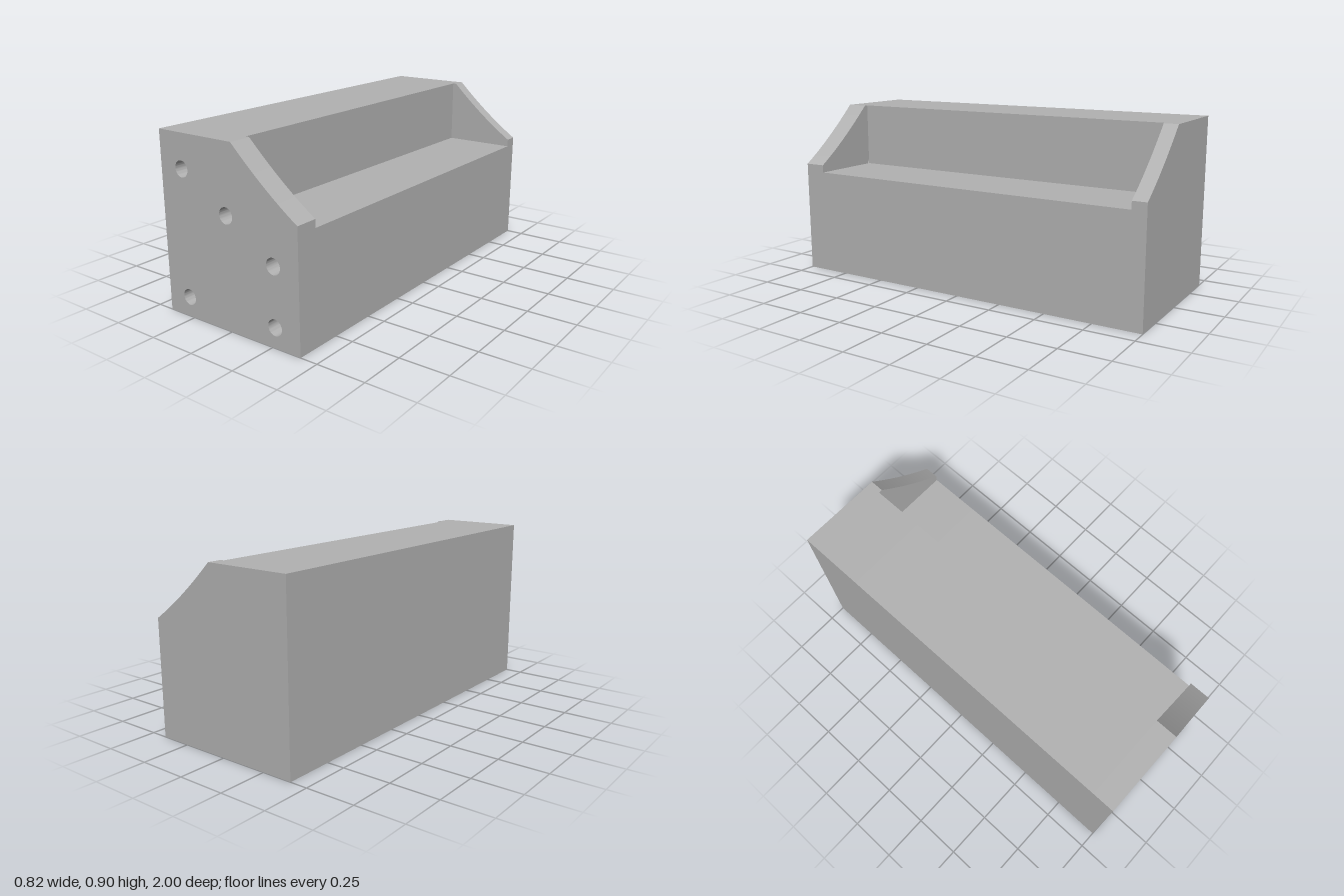
import * as THREE from 'three';
import { toCreasedNormals } from 'three/addons/utils/BufferGeometryUtils.js';

export function createModel() {
  const group = new THREE.Group();
  const grey = new THREE.MeshStandardMaterial({ color: 0xb2b2b2 });
  grey.name = 'grey';

  const add = (name, geometry) => {
    const mesh = new THREE.Mesh(toCreasedNormals(geometry, 0.5), grey);
    mesh.name = name;
    group.add(mesh);
  };

  // Extrude a shape in the xy plane between two z positions
  const slab = (name, shape, z0, z1) => {
    const geometry = new THREE.ExtrudeGeometry(shape, {
      depth: z1 - z0, bevelEnabled: false, curveSegments: 24,
    });
    add(name, geometry.translate(0, 0, z0));
  };

  const frontInner = 0.885, backInner = -0.927, bossTop = 0.3, ribSplit = -0.65;

  // End wall outline with a slightly hollow sloping edge
  const endShape = (holes) => {
    const s = new THREE.Shape();
    s.moveTo(-0.41, 0);
    s.lineTo(0.41, 0);
    s.lineTo(0.41, 0.598);
    s.quadraticCurveTo(0.2275, 0.72, 0.045, 0.9);
    s.lineTo(-0.41, 0.9);
    s.closePath();
    for (const [x, y] of holes) {
      s.holes.push(new THREE.Path().absarc(x, y, 0.04, 0, Math.PI * 2, true));
    }
    return s;
  };
  slab('frontWall', endShape([
    [-0.275, 0.73], [-0.005, 0.56], [0.267, 0.387], [-0.275, 0.1], [0.267, 0.1],
  ]), frontInner, 1);
  slab('backWall', endShape([]), -1, backInner);

  // Stepped body with two channels open below and a rib between them
  const bodyShape = (ribBottom) => new THREE.Shape([
    [-0.41, 0], [-0.34, 0], [-0.34, 0.83], [-0.035, 0.83], [-0.035, ribBottom],
    [0.035, ribBottom], [0.035, 0.49], [0.34, 0.49], [0.34, 0], [0.41, 0],
    [0.41, 0.558], [0.025, 0.558], [0.025, 0.9], [-0.41, 0.9],
  ].map(([x, y]) => new THREE.Vector2(x, y)));
  slab('body', bodyShape(0), ribSplit, frontInner);
  slab('bodyOverBoss', bodyShape(bossTop), backInner, ribSplit);

  // Round boss underneath with a shallow pocket
  const boss = new THREE.LatheGeometry([
    [0, 0.045], [0.057, 0.045], [0.057, 0], [0.255, 0], [0.255, bossTop], [0, bossTop],
  ].map(([r, y]) => new THREE.Vector2(r, y)), 64);
  add('boss', boss.translate(0, 0, -0.742));

  return group;
}
